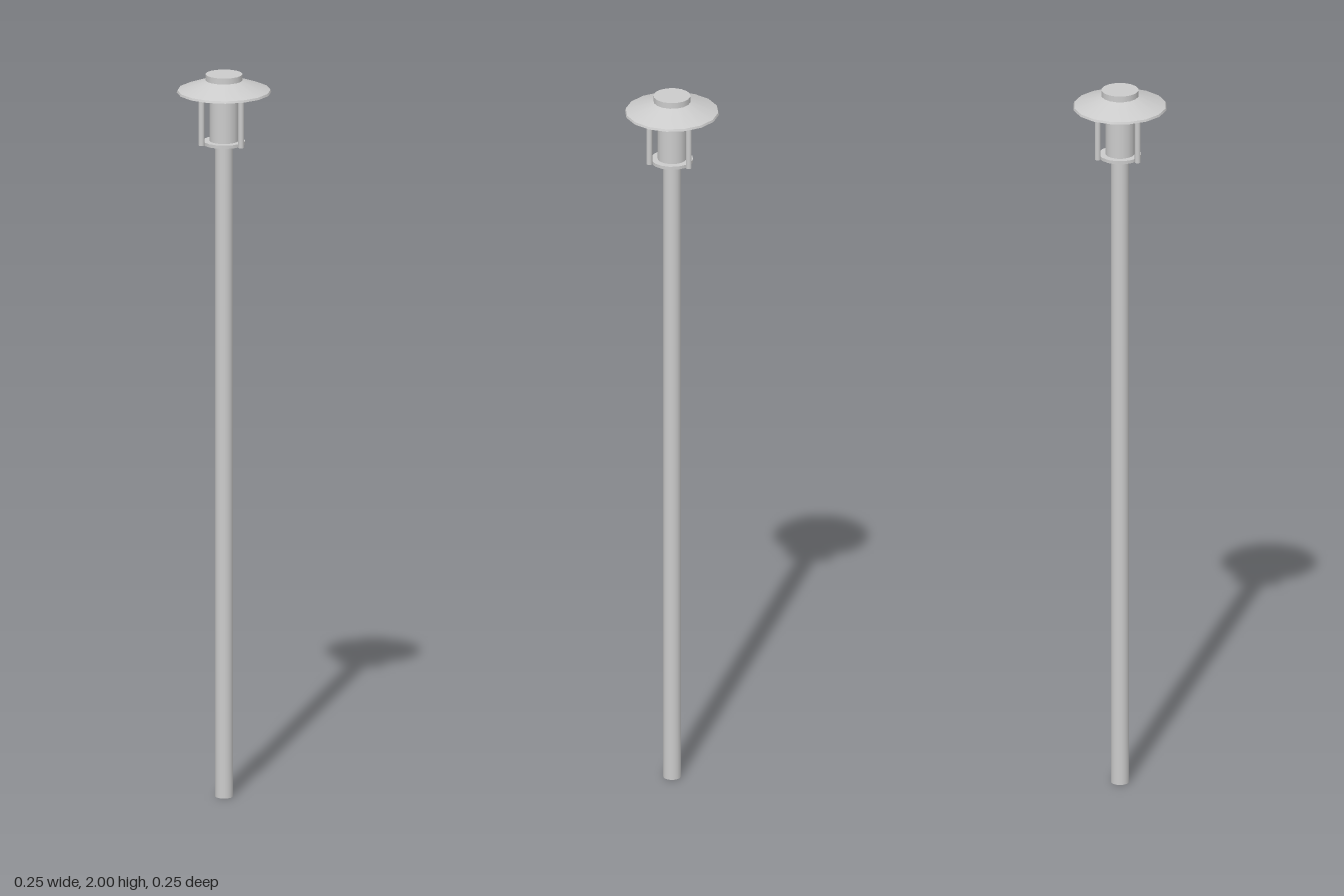
import * as THREE from 'three';

const grey = new THREE.MeshStandardMaterial({ color: 0xcccccc });
const greyOpen = new THREE.MeshStandardMaterial({ color: 0xcccccc, side: THREE.DoubleSide });

// Upright cylinder or cone section between two heights
function column(name, bottomRadius, topRadius, y0, y1, sides = 16, open = false) {
  const geometry = new THREE.CylinderGeometry(topRadius, bottomRadius, y1 - y0, sides, 1, open);
  const mesh = new THREE.Mesh(geometry, open ? greyOpen : grey);
  mesh.name = name;
  mesh.position.y = (y0 + y1) / 2;
  return mesh;
}

export function createModel() {
  const lamp = new THREE.Group();
  lamp.name = 'gardenLamp';

  // Hollow post and lamp holder
  lamp.add(column('post', 0.024, 0.024, 0, 1.81, 16, true));
  lamp.add(column('basePlate', 0.057, 0.057, 1.807, 1.816));
  lamp.add(column('lampTube', 0.039, 0.039, 1.816, 1.954));

  // Three rods around the tube carry the shade
  const rods = new THREE.Group();
  rods.name = 'supportRods';
  const rodCount = 3;
  for (let i = 0; i < rodCount; i++) {
    const angle = (i / rodCount) * Math.PI * 2;
    const rod = column('supportRod', 0.008, 0.008, 1.807, 1.957, 12);
    rod.position.x = Math.cos(angle) * 0.063;
    rod.position.z = Math.sin(angle) * 0.063;
    rods.add(rod);
  }
  lamp.add(rods);

  // Shallow conical shade with a thin bevelled rim, and a flat cap
  const shade = new THREE.Group();
  shade.name = 'shade';
  shade.add(column('shadeRim', 0.127, 0.125, 1.95, 1.956));
  shade.add(column('shadeCone', 0.125, 0.046, 1.956, 1.985));
  lamp.add(shade);
  lamp.add(column('cap', 0.05, 0.05, 1.98, 2));

  return lamp;
}
